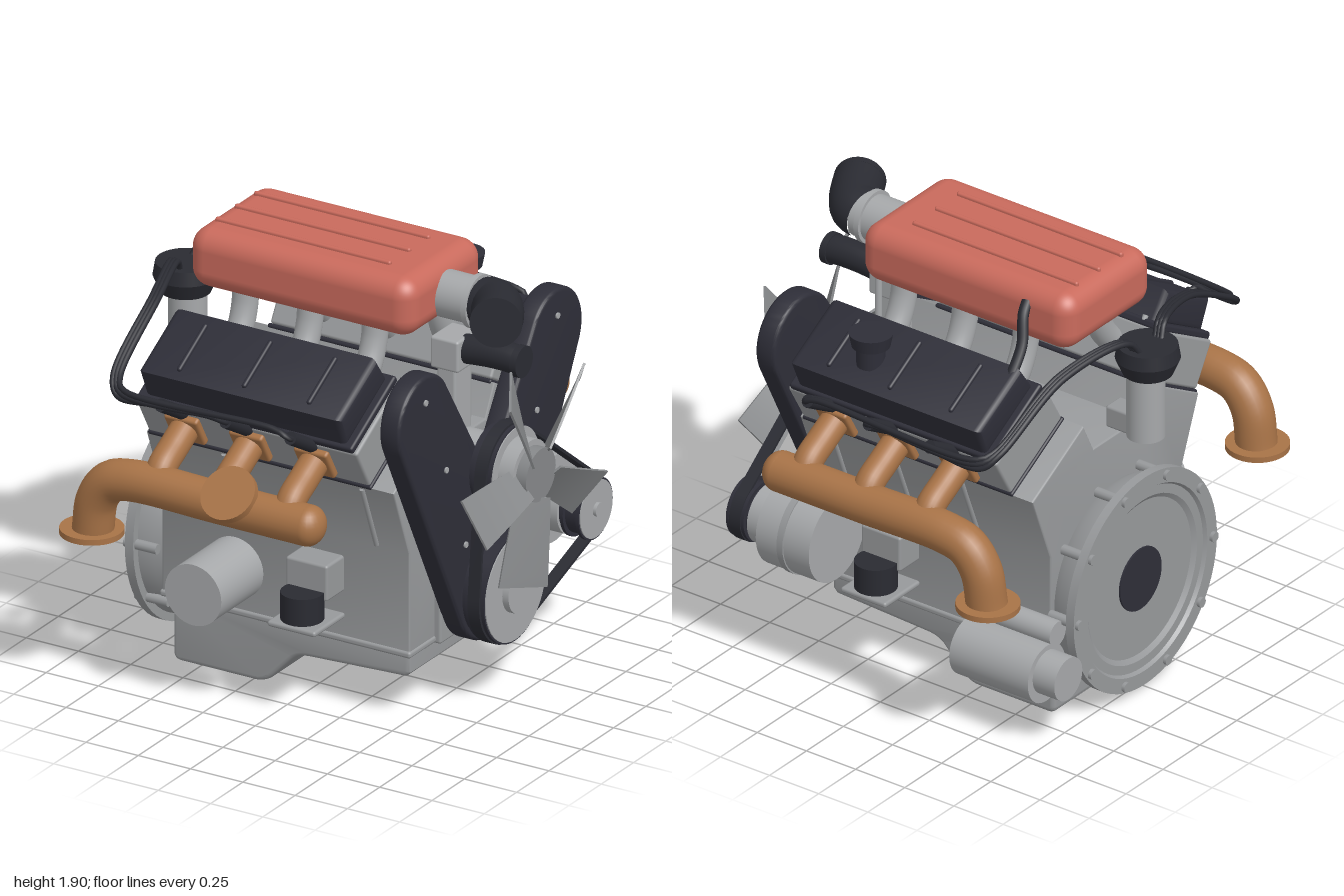
import * as THREE from 'three';
import { toCreasedNormals } from 'three/addons/utils/BufferGeometryUtils.js';
import { RoundedBoxGeometry } from 'three/addons/geometries/RoundedBoxGeometry.js';

const V = (x, y, z) => new THREE.Vector3(x, y, z);

export function createModel() {
  const material = (name, color) => Object.assign(new THREE.MeshStandardMaterial({ color }), { name });
  const cast = material('castMetal', 0x97999b);
  const light = material('lightMetal', 0xa6a8aa);
  const steel = material('fanSteel', 0x86888a);
  const black = material('blackPaint', 0x2e2e38);
  const rubber = material('rubber', 0x2a2b32);
  const copper = material('exhaustCopper', 0xa87347);
  const red = material('redPaint', 0xc96a5c);

  const model = new THREE.Group();
  model.name = 'engine';
  const engine = new THREE.Group();
  engine.name = 'engineAssembly';
  engine.position.z = -0.02;
  model.add(engine);

  const add = (name, geo, mat, pos = [0, 0, 0], parent = engine) => {
    const mesh = new THREE.Mesh(geo, mat);
    mesh.name = name;
    mesh.position.set(...pos);
    parent.add(mesh);
    return mesh;
  };
  const box = (name, size, mat, pos, parent, r = 0.012) =>
    add(name, new RoundedBoxGeometry(...size, 2, Math.min(r, Math.min(...size) * 0.45)), mat, pos, parent);
  // Cylinder between two points, optionally tapered
  const rod = (name, a, b, r, mat, parent, r2 = r) => {
    const dir = b.clone().sub(a);
    const mesh = add(name, new THREE.CylinderGeometry(r2, r, dir.length(), r > 0.03 ? 40 : 12), mat,
      a.clone().add(b).multiplyScalar(0.5).toArray(), parent);
    mesh.quaternion.setFromUnitVectors(V(0, 1, 0), dir.normalize());
    return mesh;
  };
  // Disc or drum along the crank axis
  const drum = (name, x0, x1, y, z, r, mat) => rod(name, V(x0, y, z), V(x1, y, z), r, mat);
  const tube = (name, pts, r, mat, seg = 40) =>
    add(name, new THREE.TubeGeometry(new THREE.CatmullRomCurve3(pts, false, 'centripetal'), seg, r, r > 0.03 ? 24 : 8), mat);
  // Extrude a (z, y) outline along x
  const extrudeX = (pts, x0, x1, bevel = 0, hole = null) => {
    const shape = new THREE.Shape(pts.map(p => new THREE.Vector2(...p)));
    if (hole) shape.holes.push(new THREE.Path(hole.map(p => new THREE.Vector2(...p))));
    const geo = new THREE.ExtrudeGeometry(shape, {
      depth: x1 - x0 - 2 * bevel, bevelEnabled: bevel > 0, bevelThickness: bevel,
      bevelSize: bevel, bevelOffset: -bevel, bevelSegments: 3
    });
    return toCreasedNormals(geo.rotateY(-Math.PI / 2).translate(x1 - bevel, 0, 0), 0.6);
  };
  // Convex outline around circles [z, y, r]
  const hull = circles => {
    const pts = circles.flatMap(([z, y, r]) => Array.from({ length: 64 }, (_, i) =>
      [z + r * Math.cos(i * Math.PI / 32), y + r * Math.sin(i * Math.PI / 32)]));
    pts.sort((a, b) => a[0] - b[0] || a[1] - b[1]);
    const chain = list => {
      const out = [];
      for (const p of list) {
        while (out.length > 1) {
          const [a, b] = out.slice(-2);
          if ((b[0] - a[0]) * (p[1] - a[1]) - (b[1] - a[1]) * (p[0] - a[0]) > 1e-9) break;
          out.pop();
        }
        out.push(p);
      }
      return out.slice(0, -1);
    };
    return [...chain(pts), ...chain(pts.reverse())];
  };

  // Crankcase with V banks
  const half = [[0.44, 0.31], [0.44, 0.77], [0.563, 1.085], [0.217, 1.285], [0.15, 1.15]];
  const mirrored = half.map(([z, y]) => [-z, y]).reverse();
  add('engineBlock', extrudeX([...half, ...mirrored], -0.65, 0.535, 0.008), cast);
  box('panFlange', [1.2, 0.03, 0.9], cast, [-0.058, 0.32, 0]);
  box('frontPlate', [0.04, 0.6, 0.5], cast, [0.545, 0.6, 0]);

  // Oil pan with deep rear sump
  const pan = new THREE.Shape();
  pan.moveTo(-0.63, 0.31);
  pan.lineTo(-0.63, 0.04);
  pan.quadraticCurveTo(-0.63, 0.005, -0.59, 0.005);
  pan.lineTo(-0.24, 0.005);
  pan.quadraticCurveTo(-0.19, 0.005, -0.15, 0.045);
  pan.lineTo(-0.06, 0.14);
  pan.quadraticCurveTo(-0.03, 0.165, 0.02, 0.168);
  pan.lineTo(0.48, 0.19);
  pan.lineTo(0.5, 0.21);
  pan.lineTo(0.5, 0.31);
  add('oilPan', toCreasedNormals(new THREE.ExtrudeGeometry(pan, {
    depth: 0.74, bevelThickness: 0.02, bevelSize: 0.02, bevelOffset: -0.02, bevelSegments: 3
  }).translate(0, 0, -0.37), 0.6), cast);

  // Flywheel housing
  const profile = [[0.4, 0.62], [0.44, 0.69], [0.45, 0.76], [0.485, 0.76], [0.485, 0.8], [0.42, 0.8],
    [0.41, 0.785], [0.37, 0.785], [0.35, 0.77], [0, 0.77]].map(p => new THREE.Vector2(...p));
  add('flywheelHousing', toCreasedNormals(new THREE.LatheGeometry(profile, 64).rotateZ(Math.PI / 2), 0.5),
    cast, [0, 0.515, 0]);
  drum('crankSeal', -0.778, -0.76, 0.515, 0, 0.14, black);
  for (let i = 0; i < 10; i++) {
    const a = (i + 0.5) * Math.PI / 5;
    drum('housingBolt', -0.815, -0.66, 0.515 + 0.455 * Math.cos(a), 0.455 * Math.sin(a), 0.022, cast);
  }

  // Both cylinder banks; s is the side of the engine
  for (const s of [1, -1]) {
    const xo = s > 0 ? -0.105 : -0.015;
    const bank = new THREE.Group();
    bank.name = s > 0 ? 'leftBank' : 'rightBank';
    bank.position.set(xo, 0.51, 0);
    bank.rotation.x = s * Math.PI / 6;
    engine.add(bank);
    box('headGasket', [1.07, 0.02, 0.41], black, [0, 0.78, 0], bank);
    box('cylinderHead', [1.06, 0.21, 0.4], cast, [0, 0.895, 0], bank);
    box('coverFlange', [1.03, 0.035, 0.4], black, [0, 1.012, 0], bank);
    add('valveCover', extrudeX([[0.183, 1.02], [0.168, 1.165], [-0.168, 1.165], [-0.183, 1.02]],
      -0.485, 0.485, 0.03), black, [0, 0, 0], bank);
    for (const dx of [-0.43, 0, 0.43])
      rod('coverBolt', V(dx, 1.02, -s * 0.19), V(dx, 1.04, -s * 0.19), 0.012, light, bank);

    const ports = [-0.31, 0, 0.31];
    for (const dx of ports) {
      const x = xo + dx;
      box('coverRib', [0.022, 0.03, 0.25], black, [dx, 1.165, 0], bank);
      box('portFlange', [0.16, 0.15, 0.035], copper, [dx, 0.9, s * 0.212], bank);
      tube('exhaustBranch', [V(x, 1.19, s * 0.63), V(x, 1.135, s * 0.73), V(x, 1.08, s * 0.82), V(x, 1.0, s * 0.865)], 0.062, copper, 20);
      tube('intakeRunner', [V(x, 1.68, s * 0.17), V(x, 1.56, s * 0.18), V(x, 1.46, s * 0.22), V(x, 1.34, s * 0.32)], 0.055, light, 20);
      // Ignition lead and plug boot
      rod('plugBoot', V(x, 1.36, s * 0.83), V(x, 1.26, s * 0.66), 0.028, rubber);
      const k = dx * 0.05;
      tube('ignitionLead', [V(-0.79 + k, 1.6, s * 0.07 + 0.03), V(-0.77 + k, 1.66, s * 0.12 + 0.03), V(-0.69 + k, 1.62, s * 0.43),
        V(-0.645 + k, 1.42, s * 0.8), V(-0.59 + k, 1.38 + k, s * 0.855), V(x - 0.06, 1.38 + k, s * 0.855), V(x, 1.37, s * 0.85),
        V(x, 1.32, s * 0.76)], 0.013, rubber, 60);
    }
    for (const x of [-0.28, 0.06, 0.38])
      rod('blockRib', V(x, 0.78, s * 0.445), V(x, 1.07, s * 0.558), 0.012, cast);

    // Exhaust log, downpipe and flange
    tube('exhaustManifold', [V(xo + 0.42, 1.01, s * 0.865), V(xo, 1.01, s * 0.865), V(xo - 0.43, 1.01, s * 0.865),
      V(xo - 0.53, 0.98, s * 0.862), V(xo - 0.595, 0.89, s * 0.858), V(xo - 0.62, 0.74, s * 0.853)], 0.087, copper, 60);
    const end = add('manifoldEnd', new THREE.SphereGeometry(0.087, 24, 16), copper, [xo + 0.42, 1.01, s * 0.865]);
    end.scale.x = 0.8;
    rod('exhaustFlange', V(xo - 0.625, 0.727, s * 0.853), V(xo - 0.625, 0.752, s * 0.853), 0.133, copper);

    // Engine mount
    box('mountBracket', [0.2, 0.16, 0.15], cast, [0.12, 0.61, s * 0.495]);
    rod('mountRubber', V(0.12, 0.45, s * 0.6), V(0.12, 0.57, s * 0.6), 0.09, rubber);
    box('mountPlate', [0.23, 0.025, 0.24], cast, [0.12, 0.432, s * 0.57]);

    // Timing cover arm
    add('timingCover', extrudeX(hull([[0, 0.51, 0.25], [s * 0.51, 1.415, 0.2]]), 0.555, 0.652, 0.015), black);
    for (const [z, y] of [[0.51, 1.5], [0.35, 1.14], [0.2, 0.75]])
      drum('timingBolt', 0.64, 0.66, y, s * z, 0.013, light);
  }

  // Tilted outlet on the left manifold
  rod('outletStem', V(-0.03, 1.03, 0.87), V(-0.03, 1.08, 0.915), 0.085, copper);
  rod('outletFlange', V(-0.03, 1.075, 0.91), V(-0.03, 1.1, 0.935), 0.12, copper);

  // Red intake plenum
  box('intakePlenum', [1.075, 0.26, 0.59], red, [-0.092, 1.76, 0], engine, 0.085).geometry =
    new RoundedBoxGeometry(1.075, 0.26, 0.59, 6, 0.085);
  for (const z of [-0.15, 0, 0.15]) box('plenumRib', [0.84, 0.03, 0.022], red, [-0.152, 1.89, z]);

  // Throttle body and air elbow
  drum('throttleBody', 0.42, 0.59, 1.745, 0, 0.1, light);
  drum('throttleRing', 0.575, 0.6, 1.745, 0, 0.115, light);
  drum('throttleNeck', 0.6, 0.64, 1.745, 0, 0.1, light);
  const elbow = [V(0.62, 1.745, 0), V(0.675, 1.75, 0.01), V(0.73, 1.757, 0.075), V(0.785, 1.765, 0.175)];
  tube('airElbow', elbow, 0.108, rubber);
  rod('elbowMouth', V(0.775, 1.764, 0.158), V(0.79, 1.766, 0.185), 0.108, rubber);

  // Thermostat, hose and water pump
  box('thermostatHousing', [0.135, 0.14, 0.17], light, [0.478, 1.51, 0]);
  box('waterColumn', [0.09, 0.66, 0.13], light, [0.475, 1.12, 0]);
  tube('coolantHose', [V(0.53, 1.52, 0), V(0.65, 1.53, 0), V(0.74, 1.53, 0), V(0.8, 1.525, 0)], 0.062, rubber);
  drum('hoseMouth', 0.78, 0.81, 1.525, 0, 0.068, rubber);
  rod('dipstickTube', V(0.46, 1.15, -0.13), V(0.46, 1.6, -0.13), 0.015, light);
  drum('waterPump', 0.52, 0.69, 1.04, 0, 0.12, light);

  // Pulleys and drive belt
  const pulleys = [[0, 1.04, 0.18], [-0.625, 0.62, 0.125], [0, 0.51, 0.232]];
  add('driveBelt', extrudeX(hull(pulleys.map(([z, y, r]) => [z, y, r + 0.013])), 0.69, 0.745, 0, hull(pulleys)), rubber);
  for (const [z, y, r] of pulleys) {
    drum('pulleyGroove', 0.65, 0.755, y, z, r - 0.01, black);
    for (const x of [0.675, 0.75]) drum('pulleyRim', x, x + 0.015, y, z, r + 0.008, black);
    drum('pulleyFace', 0.76, 0.77, y, z, r, light);
  }
  drum('crankBoss', 0.76, 0.8, 0.51, 0, 0.105, light);
  drum('alternatorNut', 0.76, 0.785, 0.62, -0.625, 0.03, light);

  // Fan
  drum('fanClutch', 0.765, 0.84, 1.04, 0, 0.14, light);
  drum('fanHub', 0.83, 0.89, 1.04, 0, 0.115, steel);
  const blade = new THREE.BoxGeometry(0.01, 0.38, 1, 1, 8, 1);
  const p = blade.attributes.position;
  for (let i = 0; i < p.count; i++) {
    const t = p.getY(i) / 0.38 + 0.5;
    const w = p.getZ(i) * (0.15 + 0.08 * t), a = 0.7 - 0.2 * t, x = p.getX(i);
    p.setXYZ(i, x * Math.cos(a) + w * Math.sin(a), 0.1 + 0.38 * t, w * Math.cos(a) - x * Math.sin(a));
  }
  blade.computeVertexNormals();
  const bladeGeo = toCreasedNormals(blade, 0.6);
  for (let i = 0; i < 5; i++)
    add('fanBlade', bladeGeo, steel, [0.865, 1.04, 0]).rotation.x = -(i * 72 - 24) * Math.PI / 180;

  // Alternator, starter and oil filter
  drum('alternator', 0.3, 0.57, 0.62, -0.625, 0.19, light);
  drum('alternatorNose', 0.57, 0.66, 0.62, -0.625, 0.13, light);
  drum('alternatorBand', 0.43, 0.46, 0.62, -0.625, 0.196, cast);
  box('alternatorBracket', [0.12, 0.1, 0.2], cast, [0.45, 0.55, -0.46]);
  drum('starterMotor', -0.73, -0.33, 0.32, -0.575, 0.128, light);
  drum('starterNose', -0.84, -0.73, 0.33, -0.575, 0.095, light);
  drum('starterSolenoid', -0.73, -0.45, 0.47, -0.5, 0.055, light);
  rod('oilFilter', V(-0.3, 0.515, 0.42), V(-0.3, 0.515, 0.765), 0.135, light);

  // Distributor
  rod('distributorBody', V(-0.78, 1.18, 0.03), V(-0.78, 1.5, 0.03), 0.08, light);
  box('distributorArm', [0.16, 0.1, 0.1], cast, [-0.69, 1.23, 0.03]);
  rod('distributorCap', V(-0.79, 1.48, 0.03), V(-0.79, 1.55, 0.03), 0.105, rubber, engine, 0.135);
  rod('distributorTop', V(-0.79, 1.55, 0.03), V(-0.79, 1.61, 0.03), 0.135, rubber, engine, 0.125);

  // Oil filler and breather on the right bank
  rod('fillerNeck', V(0.145, 1.48, -0.6), V(0.145, 1.58, -0.6), 0.06, black);
  rod('fillerCap', V(0.145, 1.57, -0.6), V(0.145, 1.63, -0.6), 0.08, black, engine, 0.092);
  tube('breatherHose', [V(-0.41, 1.82, -0.28), V(-0.42, 1.78, -0.32), V(-0.45, 1.67, -0.37), V(-0.46, 1.56, -0.46)], 0.024, rubber);

  return model;
}
